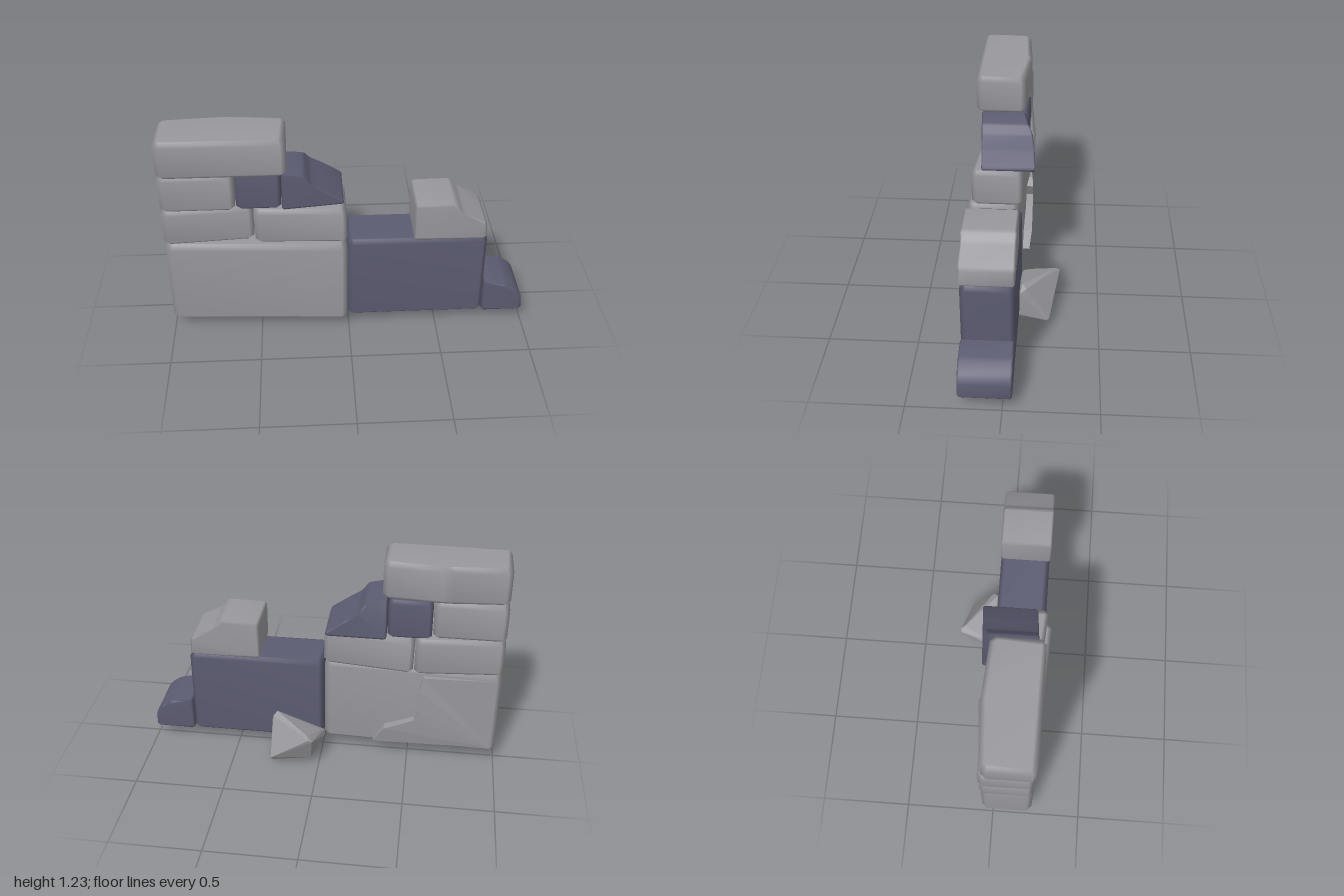
import * as THREE from 'three';
import { ConvexGeometry } from 'three/addons/geometries/ConvexGeometry.js';
import { mergeVertices } from 'three/addons/utils/BufferGeometryUtils.js';

const light = new THREE.MeshStandardMaterial({ color: 0x98989d });
const dark = new THREE.MeshStandardMaterial({ color: 0x5c5c72 });

// Replace each corner of an outline with a short cut
function cutCorners(points, cut) {
  const p = points.map(([x, y]) => new THREE.Vector2(x, y));
  return p.flatMap((corner, i) => {
    const prev = p[(i + p.length - 1) % p.length];
    const next = p[(i + 1) % p.length];
    return [prev, next].map((n) => {
      const d = corner.distanceTo(n);
      return corner.clone().lerp(n, Math.min(cut, d * 0.3) / d);
    });
  });
}

// Chamfered prism: outline extruded from a to b
function prism(outline, a, b, bevel) {
  const geometry = new THREE.ExtrudeGeometry(new THREE.Shape(outline), {
    depth: b - a - 2 * bevel, bevelEnabled: bevel > 0, bevelSegments: 1,
    bevelSize: bevel, bevelThickness: bevel, bevelOffset: -bevel,
  });
  return geometry.translate(0, 0, a + bevel);
}

// Block from a plan of [x, z] corners between two heights
function planBlock(plan, y0, y1, bevel = 0.022) {
  const outline = cutCorners(plan.map(([x, z]) => [x, -z]), bevel * 1.1);
  return prism(outline, y0, y1, bevel).rotateX(-Math.PI / 2);
}

// Move every vertex by a rule
function deform(geometry, rule) {
  const pos = geometry.attributes.position;
  const v = new THREE.Vector3();
  for (let i = 0; i < pos.count; i++) {
    v.fromBufferAttribute(pos, i);
    rule(v);
    pos.setXYZ(i, v.x, v.y, v.z);
  }
  geometry.computeVertexNormals();
  return geometry;
}

// Area-weighted normals: flat broad faces, softly shaded chamfers
function soften(geometry) {
  geometry.deleteAttribute('normal');
  geometry.deleteAttribute('uv');
  const merged = mergeVertices(geometry, 1e-4);
  merged.computeVertexNormals();
  return merged;
}

export function createModel() {
  const group = new THREE.Group();
  group.name = 'ruinedWall';
  const add = (name, geometry, material) => {
    const mesh = new THREE.Mesh(geometry, material);
    mesh.name = name;
    group.add(mesh);
  };
  const addBlock = (name, geometry, material) => add(name, soften(geometry), material);

  // Two large foundation blocks
  addBlock('largeLightBlock', planBlock(
    [[-1, 0.22], [-0.01, 0.27], [-0.01, -0.03], [-1, -0.065]], 0.068, 0.585, 0.026), light);
  addBlock('largeDarkBlock', planBlock(
    [[-0.005, 0.23], [0.765, 0.23], [0.765, -0.05], [-0.005, -0.05]], 0.066, 0.587), dark);

  // Jagged layer of stone on the back, thinning out towards the outer end
  const jagged = [[-0.975, 0.1], [-0.3, 0.1], [-0.36, 0.2], [-0.53, 0.27], [-0.56, 0.34],
    [-0.52, 0.42], [-0.55, 0.47], [-0.57, 0.55], [-0.975, 0.55]]
    .map(([x, y]) => new THREE.Vector2(x, y));
  add('brokenBackLayer', deform(prism(jagged, -0.1, 0, 0), (v) => {
    const taper = Math.min(1, (0.65 - v.y) / 0.2, v.y / 0.25);
    if (v.z < -0.05) v.z = -0.064 - 0.06 * (v.x + 0.975) * taper;
  }), light);

  // Second course
  addBlock('secondCourseLeftBlock', planBlock(
    [[-1, 0.215], [-0.515, 0.18], [-0.515, -0.105], [-1, -0.065]], 0.587, 0.8), light);
  const tilted = planBlock(
    [[-0.51, 0.205], [-0.01, 0.24], [-0.01, -0.05], [-0.51, -0.09]], 0.585, 0.795);
  tilted.translate(0.26, -0.69, 0).rotateZ(0.025).translate(-0.26, 0.69, 0);
  addBlock('secondCourseRightBlock', tilted, light);

  // Third course
  addBlock('thirdCourseLeftBlock', planBlock(
    [[-1, 0.215], [-0.605, 0.215], [-0.605, -0.07], [-1, -0.07]], 0.802, 1.018), light);
  addBlock('thirdCourseDarkBlock', planBlock(
    [[-0.6, 0.19], [-0.36, 0.19], [-0.36, -0.07], [-0.6, -0.07]], 0.793, 1.018, 0.018), dark);
  const wedge = cutCorners([[-0.355, 0.793], [-0.025, 0.806], [-0.025, 0.83], [-0.12, 0.895],
    [-0.2, 0.945], [-0.235, 0.995], [-0.355, 1.018]], 0.01);
  addBlock('thirdCourseBrokenBlock', deform(prism(wedge, -0.1, 0.2, 0.008), (v) => {
    if (v.z < 0) v.z += 0.05 * Math.pow((v.y - 0.8) / 0.21, 4);
    v.z -= 0.06 * (v.x + 0.34);
  }), dark);

  // Top course, with a slight bulge at the back
  addBlock('topBlock', planBlock(
    [[-1, 0.23], [-0.325, 0.23], [-0.325, -0.05], [-0.67, -0.075], [-1, -0.05]],
    1.015, 1.23, 0.024), light);

  // Broken stones on and beside the dark block
  const cap = cutCorners([[0.357, 0.588], [0.757, 0.588], [0.75, 0.695], [0.615, 0.765],
    [0.578, 0.814], [0.357, 0.81]], 0.014);
  addBlock('brokenCapBlock', prism(cap, -0.05, 0.235, 0.01), light);
  const end = cutCorners([[0.768, 0.066], [1, 0.066], [0.993, 0.17], [0.96, 0.215],
    [0.9, 0.252], [0.768, 0.276]], 0.014);
  addBlock('brokenEndBlock', prism(end, -0.05, 0.23, 0.01), dark);

  // Fallen stone lying behind the wall
  const corners = [
    [-0.01, 0.07, -0.01], [0.27, 0.035, -0.01], [0.285, 0.06, -0.01],
    [0.265, 0, -0.2], [0.285, 0.015, -0.205], [0.28, 0.025, -0.22], [0.045, 0.045, -0.21],
    [-0.02, 0.14, -0.06], [-0.02, 0.12, -0.09], [0, 0.165, -0.1],
    [0.03, 0.195, -0.27], [0.05, 0.205, -0.272], [0.06, 0.222, -0.25],
    [0.29, 0.2, -0.055], [0.26, 0.25, -0.065], [0.28, 0.23, -0.09],
  ];
  add('fallenStone', new ConvexGeometry(corners.map((c) => new THREE.Vector3(...c))), light);

  return group;
}
